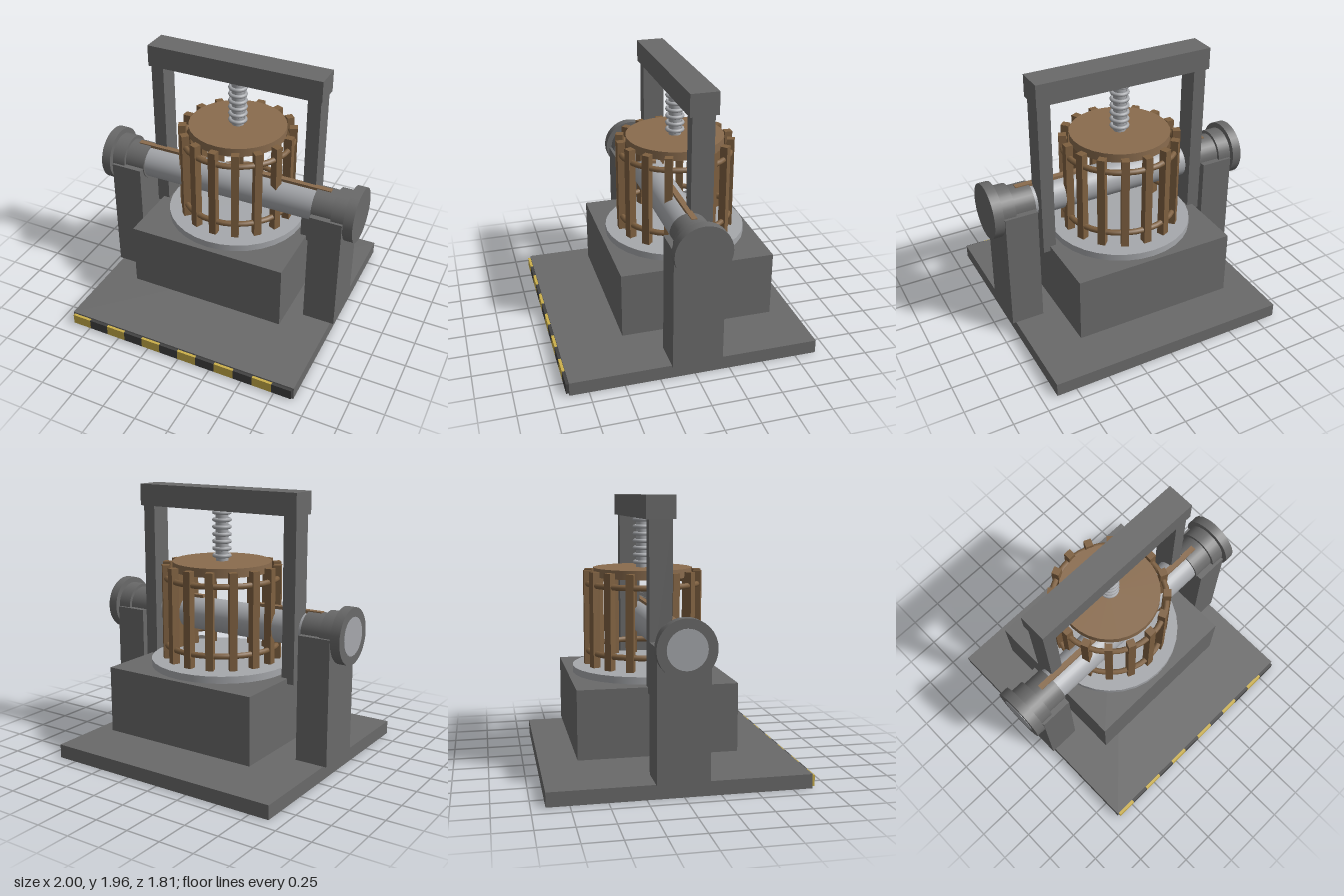
import * as THREE from 'three';

const mat = (name, color) => new THREE.MeshStandardMaterial({ name, color });

export function createModel() {
  const iron = mat('dark iron', 0x6a6a6a);
  const steel = mat('pale steel', 0xa6a8ac);
  const wood = mat('stave wood', 0x7e6040);
  const plank = mat('plate wood', 0x8a6c4e);
  const yellow = mat('warning yellow', 0xccb04a);
  const black = mat('warning black', 0x424242);

  const root = new THREE.Group();
  root.name = 'press';
  const body = new THREE.Group();
  body.name = 'pressBody';
  body.position.z = -0.01;
  root.add(body);

  const add = (name, geometry, material, x, y, z, parent = body) => {
    const mesh = new THREE.Mesh(geometry, material);
    mesh.name = name;
    mesh.position.set(x, y, z);
    parent.add(mesh);
    return mesh;
  };
  // Box given by its lower and upper corners
  const box = (name, material, x0, x1, y0, y1, z0, z1, parent) =>
    add(name, new THREE.BoxGeometry(x1 - x0, y1 - y0, z1 - z0), material,
      (x0 + x1) / 2, (y0 + y1) / 2, (z0 + z1) / 2, parent);
  // Upright cylinder between two heights
  const drum = (name, material, r, y0, y1, z, parent, sides = 32) =>
    add(name, new THREE.CylinderGeometry(r, r, y1 - y0, sides), material, 0, (y0 + y1) / 2, z, parent);
  // Cylinder lying along x
  const axle = (name, material, r, x0, x1) => {
    const g = new THREE.CylinderGeometry(r, r, x1 - x0, 32).rotateZ(Math.PI / 2);
    return add(name, g, material, (x0 + x1) / 2, 1, 0);
  };

  // Base plate with a warning strip on its front edge
  box('basePlate', iron, -0.893, 0.893, 0, 0.1, -0.895, 0.895);
  const tile = 1.764 / 12;
  for (let i = 0; i < 12; i++) {
    const x = -0.882 + i * tile;
    box('warningTile', i % 2 ? black : yellow, x, x + tile, 0.012, 0.088, 0.89, 0.915);
  }

  // Machine block and the round tray on it
  box('block', iron, -0.595, 0.595, 0.2, 0.68, -0.655, 0.455);
  drum('tray', steel, 0.515, 0.68, 0.73, -0.1);

  // Side pillars, bearing collars, end flanges and portal posts
  for (const s of [-1, 1]) {
    const span = (a, b) => (s > 0 ? [a, b] : [-b, -a]);
    box('pillar', iron, ...span(0.677, 0.917), 0.1, 1, -0.18, 0.18);
    axle('innerCollar', iron, 0.137, ...span(0.67, 0.83));
    axle('outerCollar', iron, 0.16, ...span(0.825, 0.93));
    axle('flange', iron, 0.2, ...span(0.927, 0.997));
    box('portalPost', iron, ...span(0.55, 0.645), 0.64, 1.81, -0.175, -0.018);
    box('shaftBar', plank, ...span(0.225, 0.77), 1.1, 1.142, -0.025, 0.016);
  }
  box('portalBeam', iron, -0.657, 0.657, 1.8, 1.957, -0.198, 0.002);

  // Cross shaft and its exposed end
  axle('crossShaft', steel, 0.123, -0.95, 0.95);
  axle('shaftEnd', steel, 0.135, -1, -0.99);

  // Slatted basket
  const basket = new THREE.Group();
  basket.name = 'basket';
  basket.position.z = -0.1;
  body.add(basket);
  for (let i = 0; i < 16; i++) {
    const a = (i / 16) * Math.PI * 2;
    const stave = add('stave', new THREE.BoxGeometry(0.055, 0.68, 0.055), wood,
      Math.sin(a) * 0.402, 1.08, Math.cos(a) * 0.402, basket);
    stave.rotation.y = a;
  }
  for (const y of [0.84, 1.325]) {
    const ring = new THREE.TorusGeometry(0.404, 0.021, 8, 32).rotateX(Math.PI / 2);
    add('hoop', ring, wood, 0, y, 0, basket);
  }
  drum('pressingPlate', plank, 0.355, 1.375, 1.438, 0, basket);

  // Press screw with raised threads
  drum('screw', steel, 0.045, 1.43, 1.81, 0, basket, 20);
  for (let i = 0; i < 7; i++) {
    const thread = new THREE.TorusGeometry(0.056, 0.014, 8, 24).rotateX(Math.PI / 2);
    add('screwThread', thread, steel, 0, 1.475 + i * 0.051, 0, basket);
  }
  return root;
}
